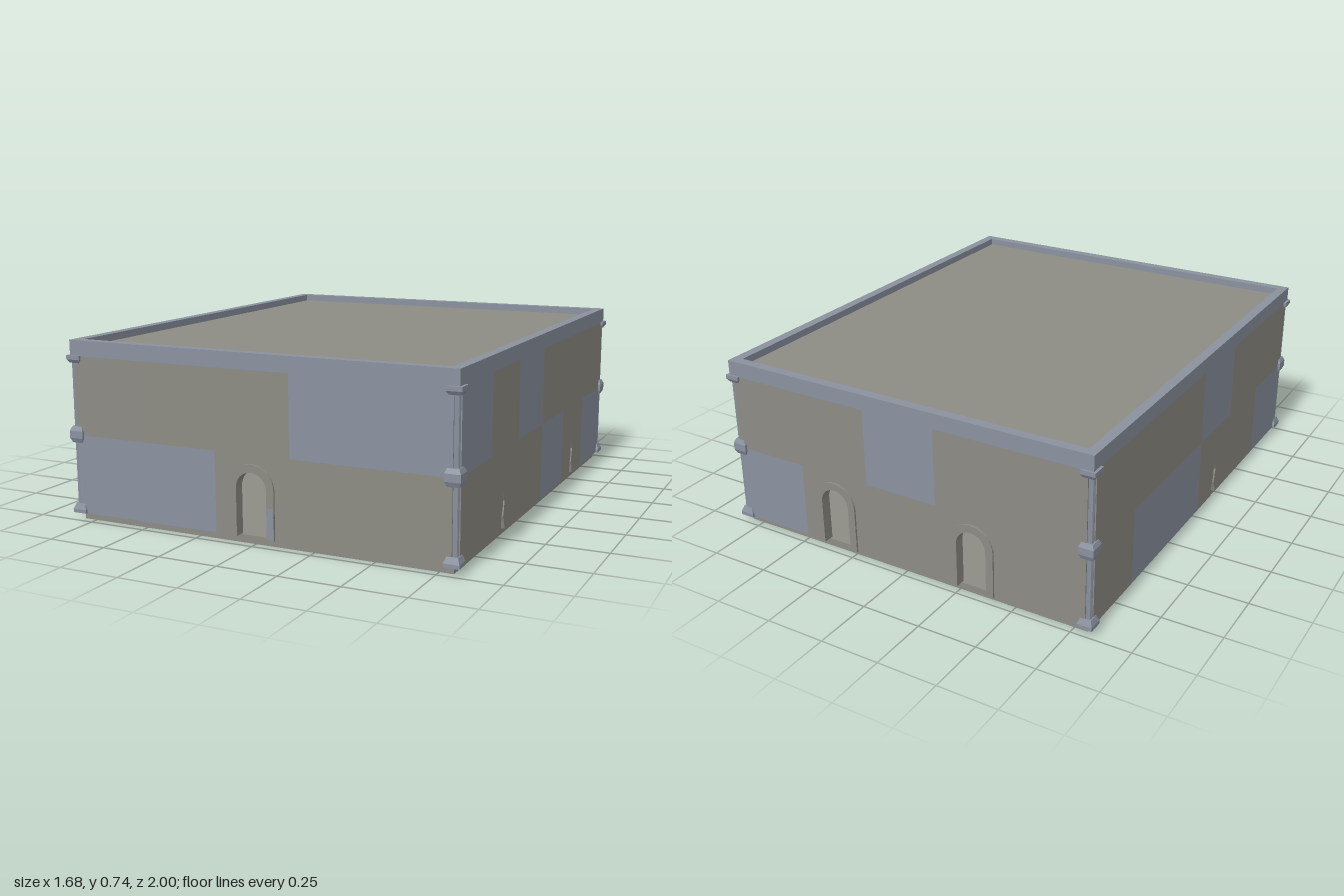
import * as THREE from 'three';
import { mergeGeometries } from 'three/addons/utils/BufferGeometryUtils.js';

const HX = 0.827, HZ = 0.99, T = 0.041;       // outer half sizes, wall thickness
const Y0 = 0.032, Y1 = 0.355, Y2 = 0.676, Y3 = 0.74; // floor, mid course, wall top, parapet top
const ROOF = 0.71;
const CELL = 0.322;

export function createModel() {
  const stone = new THREE.MeshStandardMaterial({ color: 0x8d8c84 });
  stone.name = 'warm grey stone';
  const slate = new THREE.MeshStandardMaterial({ color: 0x8a929f });
  slate.name = 'blue grey stone';

  const model = new THREE.Group();
  model.name = 'building';

  const add = (parent, name, geo, mat, x = 0, y = 0, z = 0) => {
    const m = new THREE.Mesh(geo, mat);
    m.name = name;
    m.position.set(x, y, z);
    parent.add(m);
  };
  const extrude = (shape, depth) =>
    new THREE.ExtrudeGeometry(shape, { depth, bevelEnabled: false, curveSegments: 16 });
  const flat = geo => {
    const g = geo.toNonIndexed();
    g.computeVertexNormals();
    return g;
  };

  // Outline of a round-headed opening, left foot to right foot
  const SPRING = 0.223;
  const archPoints = r => {
    const pts = [[-r, Y0]];
    for (let i = 0; i <= 16; i++) {
      const a = Math.PI * (1 - i / 16);
      pts.push([r * Math.cos(a), SPRING + r * Math.sin(a)]);
    }
    pts.push([r, Y0]);
    return pts;
  };
  const cutouts = {
    door: archPoints(0.08),
    crack: [[-0.02, 0], [-0.016, 0.05], [0, 0.1], [-0.008, 0.165], [0.02, 0.115],
      [0.006, 0.055], [0.012, 0.03], [0.016, 0.04], [0.026, 0]].map(([x, y]) => [x, y + Y0]),
  };

  // One block of wall, with an optional opening cut up from its foot
  const block = (x0, x1, y0, y1, opening) => {
    const pts = [[x0, y0]];
    if (opening) pts.push(...cutouts[opening.kind].map(([x, y]) => [x + opening.x, y]));
    pts.push([x1, y0], [x1, y1], [x0, y1]);
    return extrude(new THREE.Shape(pts.map(p => new THREE.Vector2(...p))), T);
  };

  // Raised door surround
  const frameShape = new THREE.Shape(
    [...archPoints(0.097), ...archPoints(0.065).reverse()]
      .map(p => new THREE.Vector2(...p)));
  const frameGeo = extrude(frameShape, T + 0.004);

  // Wall of two courses; each letter is a block, S = slate, G = grey
  const wall = (name, angle, dist, upper, lower, openings) => {
    const g = new THREE.Group();
    g.name = name;
    g.rotation.y = angle;
    const parts = { S: [], G: [] };
    const start = -upper.length * CELL / 2;
    for (let i = 0; i < upper.length; i++) {
      const x0 = start + i * CELL, x1 = x0 + CELL;
      parts[upper[i]].push(block(x0, x1, Y1, Y2));
      parts[lower[i]].push(block(x0, x1, Y0, Y1, openings.find(o => o.x > x0 && o.x < x1)));
    }
    add(g, name + 'GreyBlocks', mergeGeometries(parts.G), stone, 0, 0, dist - T);
    add(g, name + 'SlateBlocks', mergeGeometries(parts.S), slate, 0, 0, dist - T);
    for (const o of openings) {
      if (o.kind === 'door') add(g, 'doorFrame', frameGeo, stone, o.x, 0, dist - T + 0.004);
    }
    model.add(g);
    return g;
  };

  const front = wall('frontWall', 0, HZ, 'GGGSS', 'SSGGG', [{ kind: 'door', x: 0 }]);
  wall('leftWall', Math.PI / 2, HX, 'SGSGGG', 'GGGSGS',
    [{ kind: 'crack', x: -0.5 }, { kind: 'crack', x: 0.47 }]);
  wall('backWall', Math.PI, HZ, 'GGSGG', 'SGGGG',
    [{ kind: 'door', x: -0.322 }, { kind: 'door', x: 0.322 }]);
  wall('rightWall', -Math.PI / 2, HX, 'GGGSGG', 'GSSGGS', [{ kind: 'crack', x: 0.17 }]);

  // Slate repair on the front door jamb
  add(front, 'jambPatch', new THREE.BoxGeometry(0.028, 0.12, 0.003), slate, 0.081, 0.097, HZ + 0.008);

  // Plinth with floor, and roof slab
  add(model, 'plinth', new THREE.BoxGeometry(1.61, Y0, 1.932), stone, 0, Y0 / 2, 0);
  add(model, 'roof', new THREE.BoxGeometry(2 * (HX - T), ROOF - Y2, 2 * (HZ - T)), stone, 0, (ROOF + Y2) / 2, 0);

  // Parapet ring
  const rect = (S, x, z) => new S(
    [[-x, -z], [x, -z], [x, z], [-x, z]].map(p => new THREE.Vector2(...p)));
  const ring = rect(THREE.Shape, HX, HZ);
  ring.holes.push(rect(THREE.Path, HX - T, HZ - T));
  add(model, 'parapet', extrude(ring, Y3 - Y2).rotateX(-Math.PI / 2), slate, 0, Y2, 0);

  // Corner shafts with square moulded base, band and capital
  const moulding = profile => {
    const pts = profile.map(([r, y]) => new THREE.Vector2(r * Math.SQRT2, y));
    return flat(new THREE.LatheGeometry(pts, 4).rotateY(Math.PI / 4));
  };
  const mouldings = {
    cornerBase: moulding([[0, 0.031], [0.031, 0.031], [0.031, 0.046], [0.022, 0.07], [0, 0.07]]),
    cornerBand: moulding([[0, 0.323], [0.023, 0.323], [0.031, 0.342], [0.031, 0.372], [0.023, 0.39], [0, 0.39]]),
    cornerCapital: moulding([[0, 0.648], [0.022, 0.648], [0.031, 0.662], [0.031, 0.679], [0, 0.679]]),
  };
  const shaftGeo = flat(new THREE.CylinderGeometry(0.0125, 0.0125, Y2 - Y0, 8));
  for (const sx of [-1, 1]) {
    for (const sz of [-1, 1]) {
      const corner = new THREE.Group();
      corner.name = 'cornerColumn';
      corner.position.set(sx * 0.807, 0, sz * 0.969);
      add(corner, 'cornerShaft', shaftGeo, slate, sx * 0.007, (Y0 + Y2) / 2, sz * 0.007);
      for (const [name, geo] of Object.entries(mouldings)) add(corner, name, geo, slate);
      model.add(corner);
    }
  }
  return model;
}
